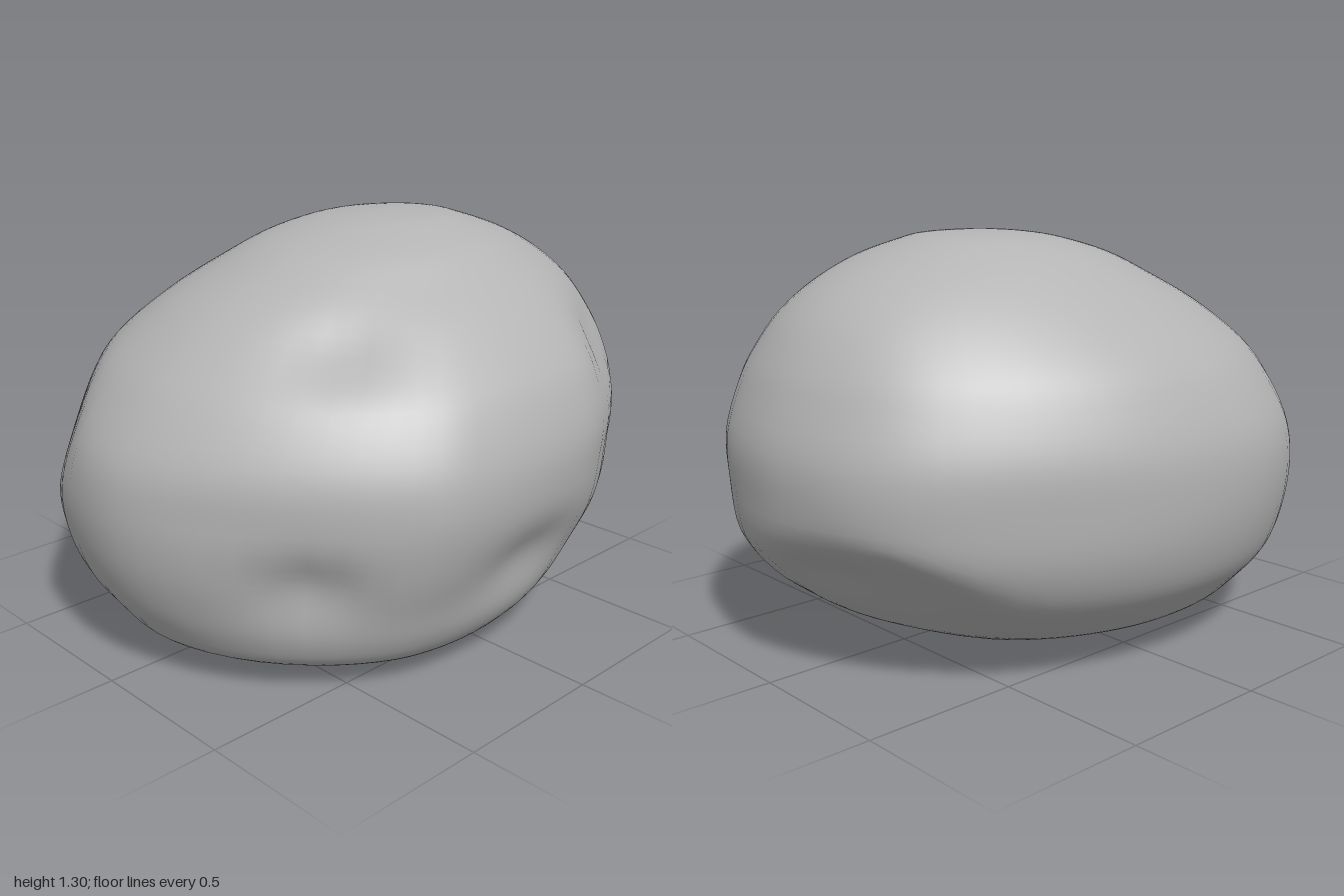
import * as THREE from 'three';
import { mergeVertices } from 'three/addons/utils/BufferGeometryUtils.js';

const V = (x, y, z) => new THREE.Vector3(x, y, z);

// Plan outline of the boulder, counted round from +x through +z
const OUTLINE = [
  [1, .03], [.95, .26], [.82, .45], [.58, .64], [.3, .79], [.1, .835], [-.1, .845], [-.28, .83],
  [-.44, .785], [-.63, .64], [-.82, .42], [-.96, .17], [-1, -.05], [-.94, -.33], [-.8, -.52],
  [-.62, -.675], [-.42, -.785], [-.22, -.84], [0, -.85], [.18, -.83], [.36, -.78], [.58, -.68],
  [.8, -.53], [.93, -.36], [.99, -.16],
];

// Horizontal sections: height, x min, x max, z min, z max
const SECTIONS = [
  [0, -.05, -.05, .03, .03],
  [.01, -.35, .25, -.22, .3],
  [.03, -.57, .38, -.4, .47],
  [.06, -.72, .52, -.52, .62],
  [.10, -.83, .64, -.61, .68],
  [.17, -.89, .76, -.69, .73],
  [.27, -.95, .89, -.78, .77],
  [.40, -.99, .98, -.83, .82],
  [.55, -1, 1, -.85, .85],
  [.70, -.97, 1, -.84, .85],
  [.85, -.87, .95, -.78, .8],
  [.95, -.77, .9, -.71, .73],
  [1.06, -.62, .82, -.59, .62],
  [1.15, -.45, .71, -.47, .5],
  [1.22, -.3, .57, -.36, .4],
  [1.27, -.12, .43, -.24, .26],
  [1.29, 0, .34, -.13, .17],
  [1.3, .15, .15, .02, .02],
];

// Worn flat faces: normal, distance, softness
const FLATS = [
  [V(.63, -.73, -.26).normalize(), .33, .02],
  [V(-.75, .35, -.56).normalize(), 1.08, .015],
];

// Dents: centre, radii, depth
const DENTS = [
  [V(0, .35, .8), V(.22, .11, .3), .042],
  [V(-.69, .37, .52), V(.11, .11, .2), .05],
  [V(.52, .87, .52), V(.13, .12, .2), .045],
  [V(-.44, 1, .42), V(.16, .12, .13), .045],
  [V(.88, .32, -.1), V(.12, .12, .16), .025],
];
const CORE = V(0, .6, 0);

function weather(p) {
  for (const [n, h, k] of FLATS) {
    const d = p.dot(n) - h;
    p.addScaledVector(n, -k * Math.log(1 + Math.exp(d / k)));
  }
  const inward = CORE.clone().sub(p).normalize();
  let push = 0;
  for (const [c, r, depth] of DENTS) {
    push += depth * Math.exp(-p.clone().sub(c).divide(r).lengthSq());
  }
  return p.addScaledVector(inward, push);
}

function boulderGeometry(around = 72, rows = 68) {
  const curve = (pts, closed) => new THREE.CatmullRomCurve3(pts, closed, 'catmullrom', .5);
  const outline = curve(OUTLINE.map(([x, z]) => V(x, 0, z / .85)), true);
  const xCurve = curve(SECTIONS.map(s => V(s[1], s[0], s[2])), false);
  const zCurve = curve(SECTIONS.map(s => V(s[3], s[0], s[4])), false);
  const positions = [], index = [];
  for (let j = 0; j <= rows; j++) {
    const a = xCurve.getPoint(j / rows), b = zCurve.getPoint(j / rows);
    // Sections grow rounder towards the crown and the base
    const roundness = Math.min(1, Math.abs(a.y - .58) * 1.3);
    for (let i = 0; i < around; i++) {
      const o = outline.getPoint(i / around);
      o.lerp(o.clone().normalize(), roundness);
      const p = weather(V(
        (a.x + a.z) / 2 + o.x * (a.z - a.x) / 2,
        a.y,
        (b.x + b.z) / 2 + o.z * (b.z - b.x) / 2,
      ));
      positions.push(p.x, p.y, p.z);
      if (j === rows) continue;
      const k = j * around + i, m = j * around + (i + 1) % around;
      // Single triangles at the two poles, pairs elsewhere
      if (j > 0) index.push(k, m + around, m);
      if (j < rows - 1) index.push(k, k + around, m + around);
    }
  }
  let geometry = new THREE.BufferGeometry();
  geometry.setAttribute('position', new THREE.Float32BufferAttribute(positions, 3));
  geometry.setIndex(index);
  geometry = mergeVertices(geometry, 1e-5);
  geometry.computeVertexNormals();
  return geometry;
}

export function createModel() {
  const stone = new THREE.MeshStandardMaterial({ color: 0xb4b4b4 });
  stone.name = 'stone grey';
  const group = new THREE.Group();
  group.name = 'boulder';
  const rock = new THREE.Mesh(boulderGeometry(), stone);
  rock.name = 'rock';
  group.add(rock);
  return group;
}
